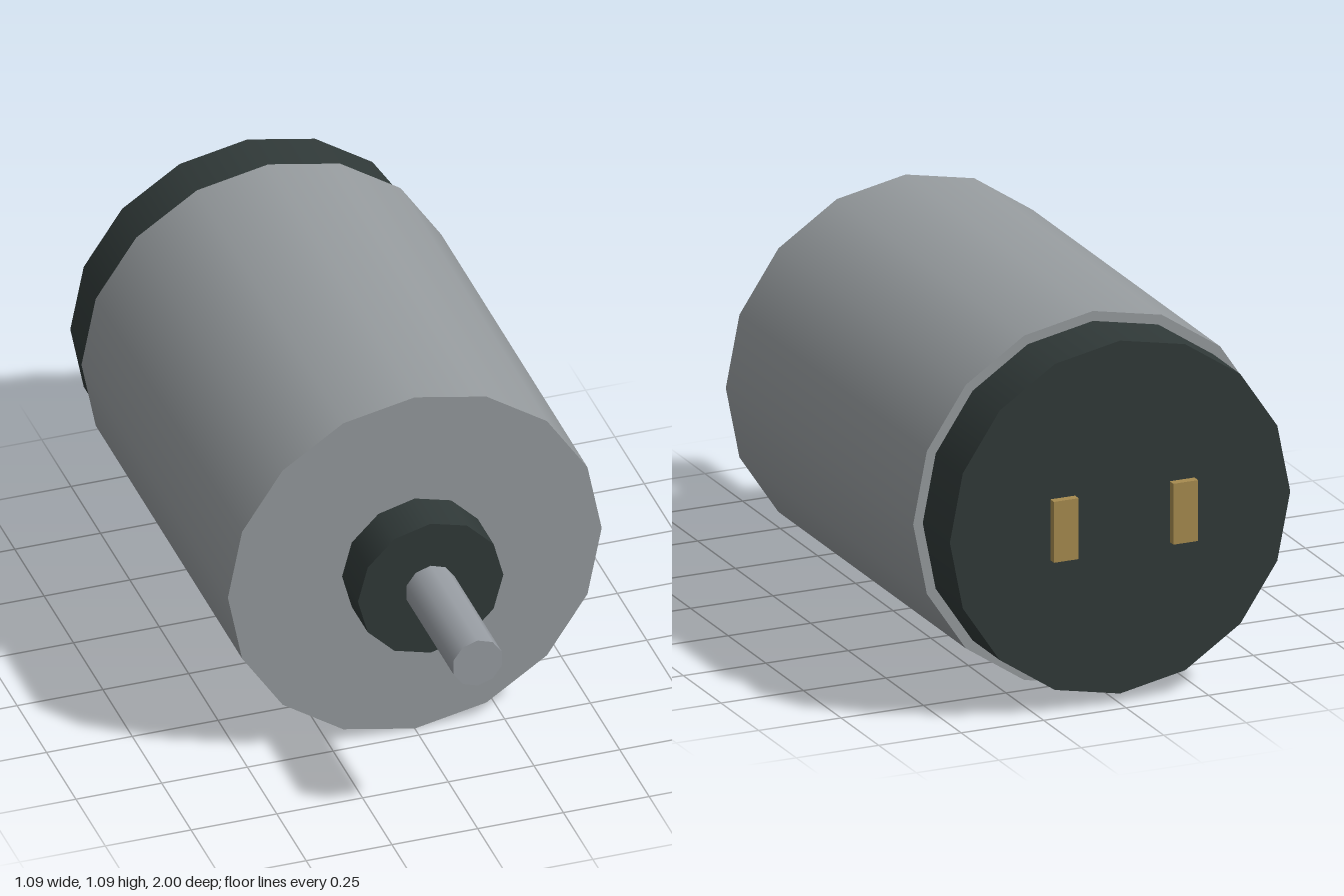
import * as THREE from 'three';

const AXIS_Y = 0.545; // height of the motor axis

function material(name, color) {
  const m = new THREE.MeshStandardMaterial({ color });
  m.name = name;
  return m;
}

export function createModel() {
  const steel = material('steel', 0x969b9e);
  const shaftSteel = material('shaftSteel', 0x989da3);
  const darkPlastic = material('darkPlastic', 0x303938);
  const brass = material('brass', 0xa68b4f);

  const group = new THREE.Group();
  group.name = 'electricMotor';

  function add(name, geometry, mat, x, z) {
    const mesh = new THREE.Mesh(geometry, mat);
    mesh.name = name;
    mesh.position.set(x, AXIS_Y, z);
    group.add(mesh);
  }

  // Cylinder along z, between two z positions
  function barrel(name, radius, sides, zBack, zFront, mat) {
    const geometry = new THREE.CylinderGeometry(radius, radius, zFront - zBack, sides);
    geometry.rotateX(Math.PI / 2);
    add(name, geometry, mat, 0, (zBack + zFront) / 2);
  }

  barrel('housing', 0.545, 16, -0.78, 0.465, steel);
  barrel('rearCap', 0.516, 16, -0.96, -0.78, darkPlastic);
  barrel('frontBearing', 0.212, 12, 0.465, 0.6, darkPlastic);
  barrel('shaft', 0.074, 10, 0.6, 1, shaftSteel);

  // Pair of contact plates just behind the rear cap
  for (const side of [-1, 1]) {
    add(side > 0 ? 'leftTerminal' : 'rightTerminal',
      new THREE.BoxGeometry(0.075, 0.178, 0.024), brass, side * 0.181, -0.988);
  }

  return group;
}
